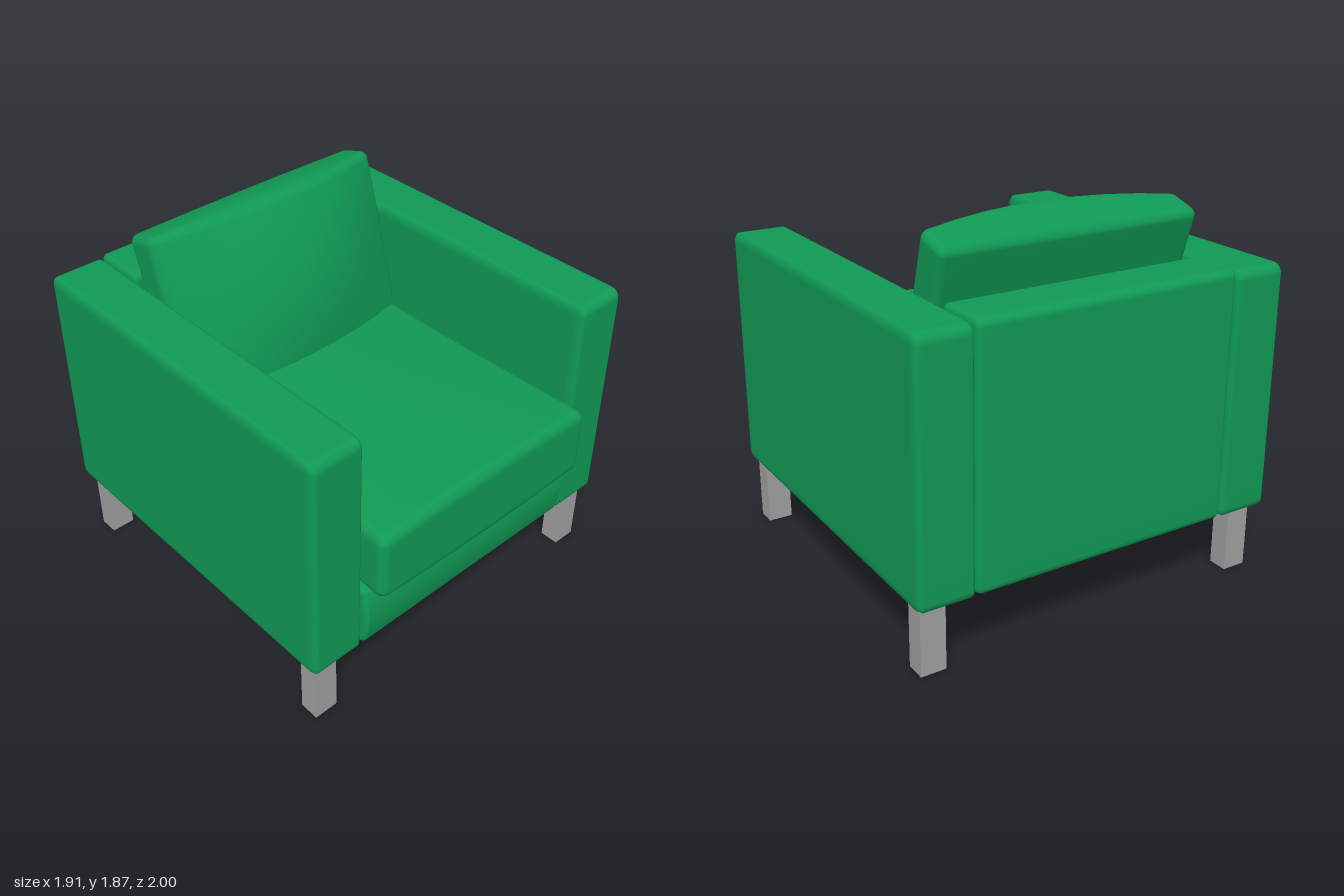
import * as THREE from 'three';
import { mergeVertices } from 'three/addons/utils/BufferGeometryUtils.js';

const N = 14, EDGE = 3; // grid lines per side, lines spent on each rounded edge
const BOTTOM = 3, REAR = 5; // box faces that can be left open

// Rounded box with an evenly divided middle, then bent by a rule.
// radii: edge rounding along x, y, z.
// open: [face, rows kept] pairs for faces left open underneath or behind.
// shape(p, u, v, w): moves point p, with u, v, w in -1..1 across the box.
function softBox(size, radii, open, shape) {
  const geo = new THREE.BoxGeometry(2, 2, 2, N, N, N);
  geo.clearGroups();
  geo.deleteAttribute('uv');
  geo.deleteAttribute('normal');
  const perFace = N * N * 6;
  geo.setIndex(Array.from(geo.index.array).filter((_, i) => !open.some(([face, rows]) =>
    i >= face * perFace + rows * N * 6 && i < (face + 1) * perFace)));

  const half = size.map((s) => s / 2);
  const place = (t, h, r) => {
    const i = Math.round((t + 1) * N / 2), j = Math.min(i, N - i);
    const d = j < EDGE
      ? h - r + r * Math.tan((1 - j / EDGE) * Math.PI / 4)
      : (h - r) * (1 - (j - EDGE) / (N / 2 - EDGE));
    return i < N / 2 ? -d : d;
  };
  const pos = geo.attributes.position;
  const p = new THREE.Vector3(), core = new THREE.Vector3(), round = new THREE.Vector3(...radii);
  for (let i = 0; i < pos.count; i++) {
    p.fromBufferAttribute(pos, i);
    p.set(...p.toArray().map((t, k) => place(t, half[k], radii[k])));
    core.set(...p.toArray().map((c, k) => THREE.MathUtils.clamp(c, radii[k] - half[k], half[k] - radii[k])));
    p.sub(core).divide(round).normalize().multiply(round).add(core);
    if (shape) shape(p, p.x / half[0], p.y / half[1], p.z / half[2]);
    pos.setXYZ(i, p.x, p.y, p.z);
  }
  const merged = mergeVertices(geo, 1e-5);
  merged.computeVertexNormals();
  return merged;
}

export function createModel() {
  const model = new THREE.Group();
  model.name = 'armchair';
  const fabric = new THREE.MeshStandardMaterial({ color: 0x109a55, side: THREE.DoubleSide });
  fabric.name = 'green fabric';
  const metal = new THREE.MeshStandardMaterial({ color: 0xa0a0a0, side: THREE.DoubleSide });
  metal.name = 'grey metal';

  const add = (name, geo, mat, x, y, z) => {
    const mesh = new THREE.Mesh(geo, mat);
    mesh.name = name;
    mesh.position.set(x, y, z);
    model.add(mesh);
    return mesh;
  };

  // Arms, full height upholstered shells open underneath
  const arm = softBox([0.28, 1.23, 1.89], [0.025, 0.05, 0.05], [[BOTTOM, 0]]);
  add('leftArm', arm, fabric, 0.817, 0.951, -0.055);
  add('rightArm', arm, fabric, -0.817, 0.951, -0.055);

  // Backrest shell, open underneath
  const back = softBox([1.35, 1.235, 0.29], [0.025, 0.04, 0.04], [[BOTTOM, 0]]);
  add('backrest', back, fabric, 0, 0.96, -0.853);

  // Front rail with a slightly bulging face, open below and behind
  const rail = softBox([1.35, 0.35, 0.13], [0.02, 0.035, 0.035], [[BOTTOM, 0], [REAR, 0]], (p, u, v, w) => {
    if (w > 0) p.z += 0.03 * (1 - v * v);
  });
  add('frontRail', rail, fabric, 0, 0.525, 0.82);

  // Seat cushion, crowned on top, pinched at the sides, with only a front lip below
  const seat = softBox([1.335, 0.36, 1.74], [0.05, 0.05, 0.05], [[BOTTOM, 4]], (p, u, v, w) => {
    const mid = 1 - u * u;
    p.y += v > 0 ? v * mid * (0.02 + 0.025 * (1 - w * w)) : 0.02 * v * mid;
    p.x *= 1 - 0.03 * (1 - w * w);
  });
  add('seatCushion', seat, fabric, 0, 0.88, 0.127);

  // Leaning back cushion, puffed out to the front and crowned on top
  const pillow = softBox([1.355, 0.88, 0.19], [0.04, 0.04, 0.04], [], (p, u, v, w) => {
    const mid = 1 - u * u;
    p.z += 0.095 * (w + 1) * mid * (1 - 0.45 * v * v);
    if (v > 0) p.y += 0.02 * v * mid * (1 - w * w);
    p.x *= 1 - 0.02 * (1 - v) / 2;
  });
  add('backCushion', pillow, fabric, 0, 1.397, -0.503).rotation.x = -0.3;

  // Four hollow square legs
  const leg = new THREE.CylinderGeometry(Math.SQRT1_2, Math.SQRT1_2, 0.36, 4, 1, true)
    .rotateY(Math.PI / 4).scale(0.125, 1, 0.1).toNonIndexed();
  leg.computeVertexNormals();
  for (const [side, x] of [['Left', 0.858], ['Right', -0.858]]) {
    add(`front${side}Leg`, leg, metal, x, 0.18, 0.795);
    add(`back${side}Leg`, leg, metal, x, 0.18, -0.88);
  }
  return model;
}
